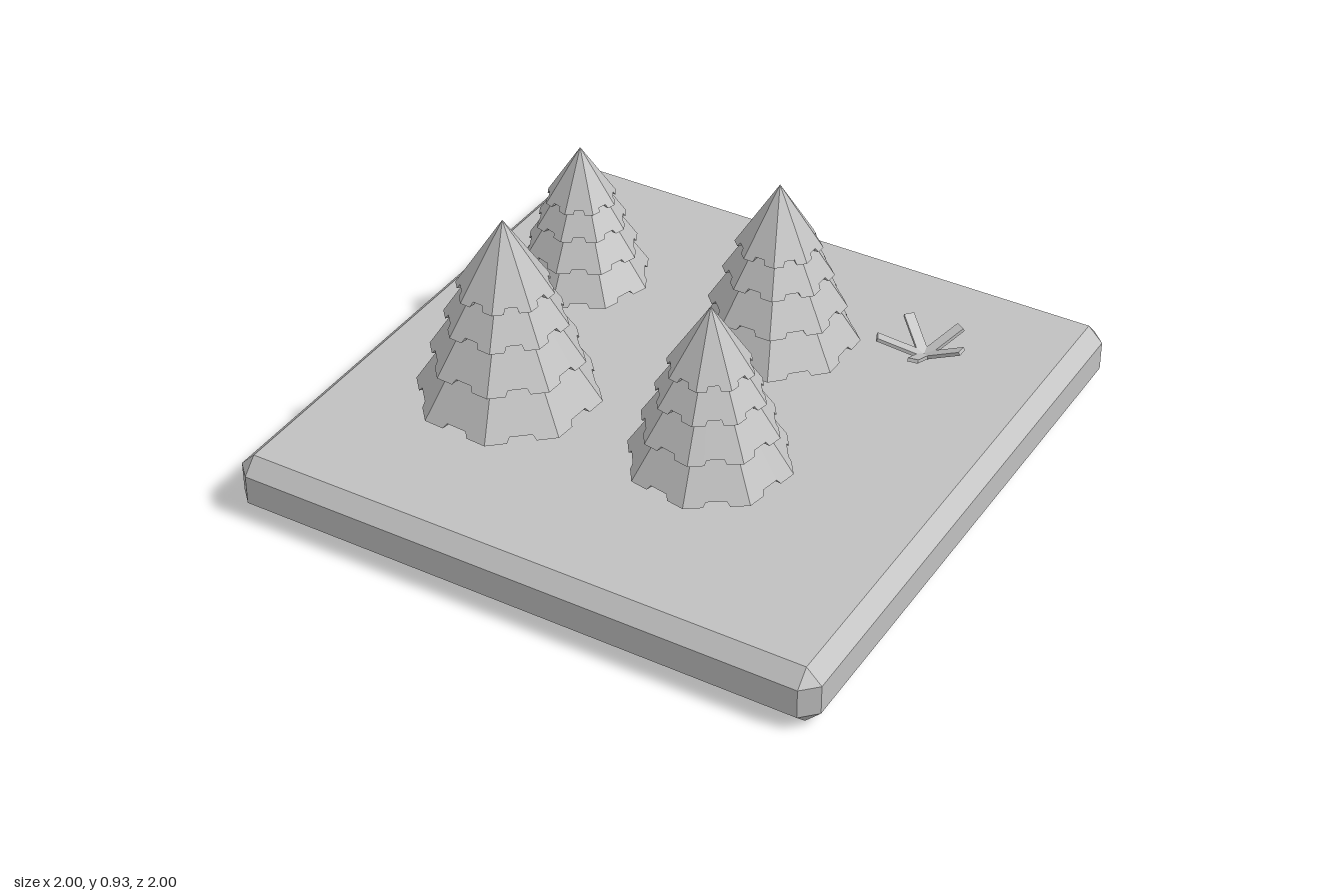
import * as THREE from 'three';
import { ConvexGeometry } from 'three/addons/geometries/ConvexGeometry.js';

const grey = new THREE.MeshStandardMaterial({ color: 0xc0c0c0, flatShading: true });
grey.name = 'grey';

function part(name, geometry, parent) {
  const mesh = new THREE.Mesh(geometry, grey);
  mesh.name = name;
  parent.add(mesh);
  return mesh;
}

// Box with every edge chamfered, standing on y = 0
function chamferedBox(w, h, d, c) {
  const pts = [];
  for (const sx of [-1, 1]) for (const sy of [-1, 1]) for (const sz of [-1, 1]) {
    for (const keep of [0, 1, 2]) {
      const half = [w / 2, h / 2, d / 2].map((v, i) => (i === keep ? v : v - c));
      pts.push(new THREE.Vector3(sx * half[0], sy * half[1] + h / 2, sz * half[2]));
    }
  }
  return new ConvexGeometry(pts);
}

// Eight-sided cone whose rim has a shallow notch in the middle of each side
function skirt(radius, y) {
  const slope = 1.57, lift = 0.022, rim = [];
  for (let i = 0; i < 8; i++) {
    const a = (i + 0.5) * Math.PI / 4, b = a + Math.PI / 4;
    for (const [t, up] of [[0, 0], [0.3, 0], [0.34, lift], [0.66, lift], [0.7, 0]]) {
      const r = radius - up / slope;
      rim.push(new THREE.Vector3(
        r * THREE.MathUtils.lerp(Math.cos(a), Math.cos(b), t), y + up,
        r * THREE.MathUtils.lerp(Math.sin(a), Math.sin(b), t)));
    }
  }
  const apex = new THREE.Vector3(0, y + radius * slope, 0);
  const under = new THREE.Vector3(0, y + 0.03, 0);
  const pts = [];
  rim.forEach((p, i) => {
    const q = rim[(i + 1) % rim.length];
    pts.push(p, apex, q, p, q, under);
  });
  const g = new THREE.BufferGeometry().setFromPoints(pts);
  g.computeVertexNormals();
  return g;
}

// Tree one unit tall, scaled to its height
function tree(name, x, z, height, turn) {
  const g = new THREE.Group();
  g.name = name;
  const profile = [[0.082, 0], [0.066, 0.03], [0.056, 0.09], [0.056, 0.22]];
  part('trunk', new THREE.LatheGeometry(profile.map(p => new THREE.Vector2(...p)), 8, Math.PI / 8), g);
  [[0.402, 0.155], [0.335, 0.345], [0.268, 0.52], [0.21, 0.67]]
    .forEach(([r, y], i) => part('branchTier' + (i + 1), skirt(r, y), g));
  g.position.set(x, 0.2, z);
  g.scale.setScalar(height);
  g.rotation.y = -THREE.MathUtils.degToRad(turn);
  return g;
}

// Flat bar running from one point to another
function bar(name, from, to, width, thick, parent) {
  const a = new THREE.Vector3(...from), b = new THREE.Vector3(...to);
  const mesh = part(name, new THREE.BoxGeometry(width, thick, a.distanceTo(b)), parent);
  mesh.position.copy(a).add(b).multiplyScalar(0.5);
  mesh.lookAt(b);
  return mesh;
}

export function createModel() {
  const model = new THREE.Group();
  model.name = 'forestTile';

  part('groundSlab', chamferedBox(2, 0.2, 2, 0.05), model);

  // Trees: x, z, height, turn in degrees
  [[-0.38, 0.405, 0.73, 4], [0.31, 0.375, 0.645, 10.5],
   [0.175, -0.28, 0.655, 0], [-0.545, -0.285, 0.56, 17]]
    .forEach(([x, z, h, turn], i) => model.add(tree('tree' + (i + 1), x, z, h, turn)));

  // Tuft of five splayed blades
  const tuft = new THREE.Group();
  tuft.name = 'tuft';
  [[0.64, -0.645], [0.70, -0.527], [0.59, -0.405], [0.435, -0.463], [0.465, -0.625]]
    .forEach(([x, z], i) => bar('blade' + (i + 1), [0.57, 0.205, -0.53], [x, 0.27, z], 0.034, 0.012, tuft));
  model.add(tuft);

  // Small twig lying beneath the tallest tree
  bar('twig', [-0.52, 0.205, 0.28], [-0.42, 0.23, 0.32], 0.03, 0.012, model);

  return model;
}
